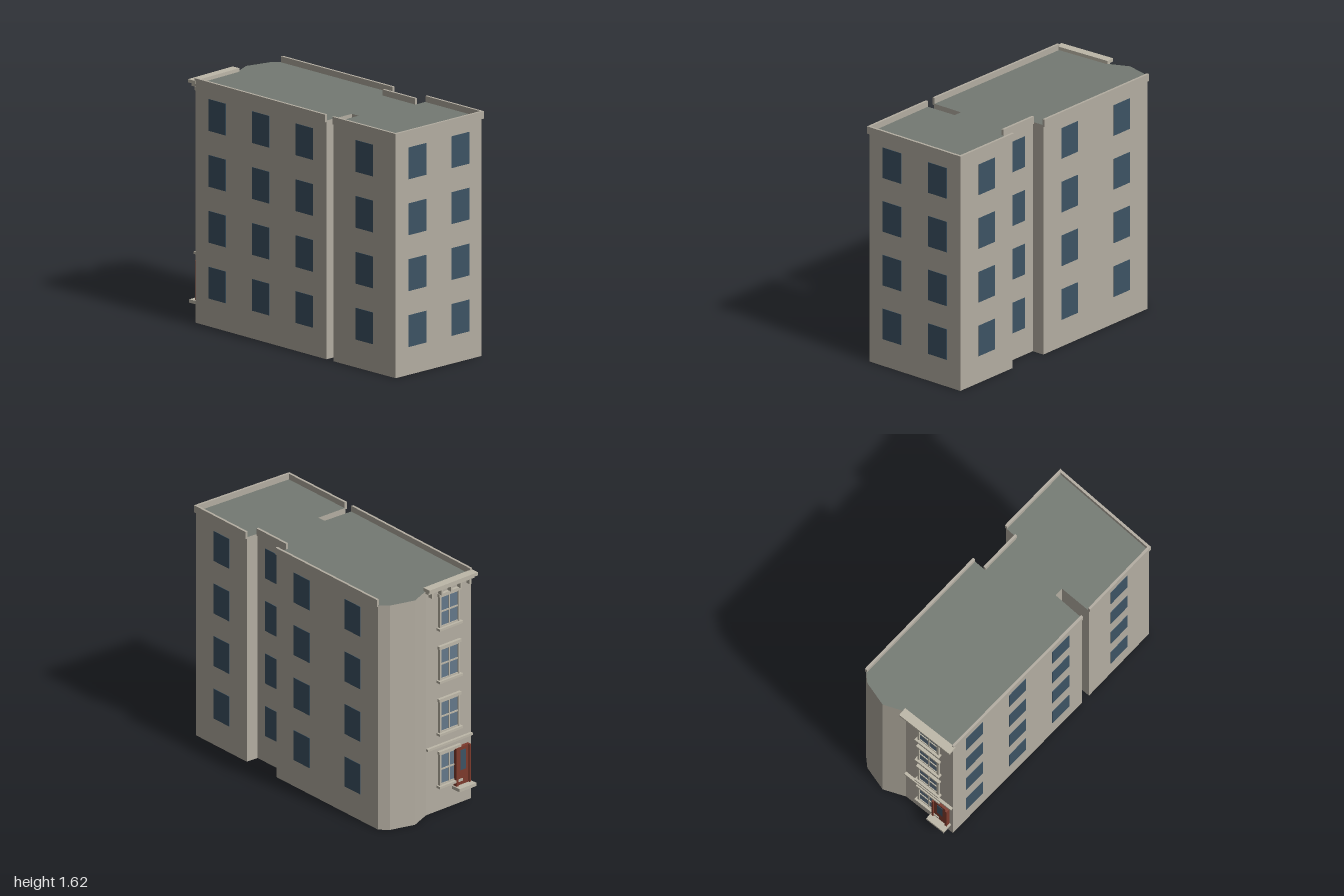
import * as THREE from 'three';

const paint = (color) => new THREE.MeshStandardMaterial({ color });
const wallMat = paint(0xb3ada1), roofMat = paint(0x747a73), glassMat = paint(0x3c5364);
const trimMat = paint(0xbdb7a8), paneMat = paint(0x64788a), doorMat = paint(0x7d3a2c);

const ROOF = 1.58;
const FLOORS = [0.29, 0.66, 1.03, 1.4]; // window centre heights

// Footprint corners [x, z], counter-clockwise seen from above
const P = {
  A: [-0.51, -0.835], O: [-0.335, 0.36], N: [-0.11, 0.325], M: [-0.1, 0.385],
  L: [-0.325, 0.425], K: [-0.236, 0.985], J: [0.52, 0.867], I: [0.443, 0.362],
  H: [0.355, 0.375], G: [0.31, 0.08], F: [0.397, 0.066], E: [0.24, -0.943],
  D: [0.175, -0.985], C: [0, -1], B: [-0.132, -0.913],
};

function box(parent, name, mat, w, h, d, x, y, z) {
  const mesh = new THREE.Mesh(new THREE.BoxGeometry(w, h, d), mat);
  mesh.name = name;
  mesh.position.set(x, y, z);
  parent.add(mesh);
  return mesh;
}

// Group lying on a wall: x runs along the wall, z points outward
function wallGroup(name, from, to) {
  const dx = to[0] - from[0], dz = to[1] - from[1];
  const group = new THREE.Group();
  group.name = name;
  group.position.set(from[0], 0, from[1]);
  group.rotation.y = Math.atan2(-dz, dx);
  group.userData.length = Math.hypot(dx, dz);
  return group;
}

// Sash window with surround, glazing bars, sill and head
function sashWindow(x, y) {
  const g = new THREE.Group();
  g.name = 'sashWindow';
  g.position.set(x, y, 0);
  const w = 0.16, h = 0.22;
  box(g, 'windowGlass', paneMat, w, h, 0.008, 0, 0, 0.002);
  for (const s of [-1, 1]) {
    box(g, 'windowJamb', trimMat, 0.014, h, 0.02, s * w / 2, 0, 0.006);
    box(g, 'windowRail', trimMat, w, 0.01, 0.016, 0, s * (h / 2 - 0.005), 0.004);
  }
  box(g, 'glazingBar', trimMat, 0.007, h, 0.014, 0, 0, 0.004);
  box(g, 'meetingRail', trimMat, w, 0.01, 0.016, 0, 0, 0.004);
  box(g, 'windowSill', trimMat, 0.2, 0.016, 0.036, 0, -h / 2 - 0.008, 0.012);
  box(g, 'windowHead', trimMat, 0.19, 0.02, 0.026, 0, h / 2 + 0.01, 0.008);
  return g;
}

export function createModel() {
  const model = new THREE.Group();
  model.name = 'apartmentBuilding';

  // Main block with flat roof
  const outline = new THREE.Shape(Object.values(P).map(([x, z]) => new THREE.Vector2(x, -z)));
  const block = new THREE.ExtrudeGeometry(outline, { depth: ROOF, bevelEnabled: false });
  block.rotateX(-Math.PI / 2);
  const body = new THREE.Mesh(block, [roofMat, wallMat]);
  body.name = 'mainBlock';
  model.add(body);

  // Plain walls: [name, from, to, window columns, parapet extension at each end]
  const walls = [
    ['leftRearWall', P.A, P.O, 3, 0],
    ['leftFrontWall', P.L, P.K, 1, 0],
    ['frontWall', P.K, P.J, 2, 0.01],
    ['rightFrontWall', P.J, P.I, 1, 0],
    ['rightRecessWall', P.H, P.G, 1, 0],
    ['rightRearWall', P.F, P.E, 2, 0],
  ];
  for (const [name, from, to, columns, extra] of walls) {
    const wall = wallGroup(name, from, to);
    const len = wall.userData.length;
    const w = Math.min(0.158, len * 0.48);
    for (let i = 0; i < columns; i++)
      for (const y of FLOORS)
        box(wall, 'window', glassMat, w, 0.21, 0.004, len * (i + 0.5) / columns, y, 0.001);
    box(wall, 'parapet', wallMat, len + 2 * extra, 0.05, 0.017, len / 2, 1.595, 0.0015);
    model.add(wall);
  }

  // Decorated entrance facade at the back
  const facade = wallGroup('entranceFacade', P.B, P.A);
  const len = facade.userData.length, mid = len / 2;
  for (const y of FLOORS) facade.add(sashWindow(mid, y));
  box(facade, 'stringCourse', trimMat, len, 0.016, 0.024, mid, 0.46, 0.008);

  // Cornice on brackets
  box(facade, 'corniceTop', trimMat, len + 0.03, 0.022, 0.06, mid, 1.594, 0.022);
  box(facade, 'corniceBed', trimMat, len + 0.01, 0.02, 0.036, mid, 1.573, 0.014);
  for (let i = 0; i < 5; i++)
    box(facade, 'corniceBracket', trimMat, 0.016, 0.035, 0.034, 0.03 + i * (len - 0.06) / 4, 1.546, 0.015);

  // Door with glazed panel and doorstep
  const doorX = len - 0.088;
  box(facade, 'door', doorMat, 0.11, 0.265, 0.026, doorX, 0.27, 0.01);
  box(facade, 'doorGlass', glassMat, 0.045, 0.14, 0.004, doorX, 0.31, 0.024);
  for (const s of [-1, 1])
    box(facade, 'doorPost', doorMat, 0.014, 0.265, 0.036, doorX + s * 0.055, 0.27, 0.014);
  box(facade, 'doorstep', trimMat, 0.145, 0.022, 0.075, doorX, 0.127, 0.034);
  model.add(facade);

  return model;
}
